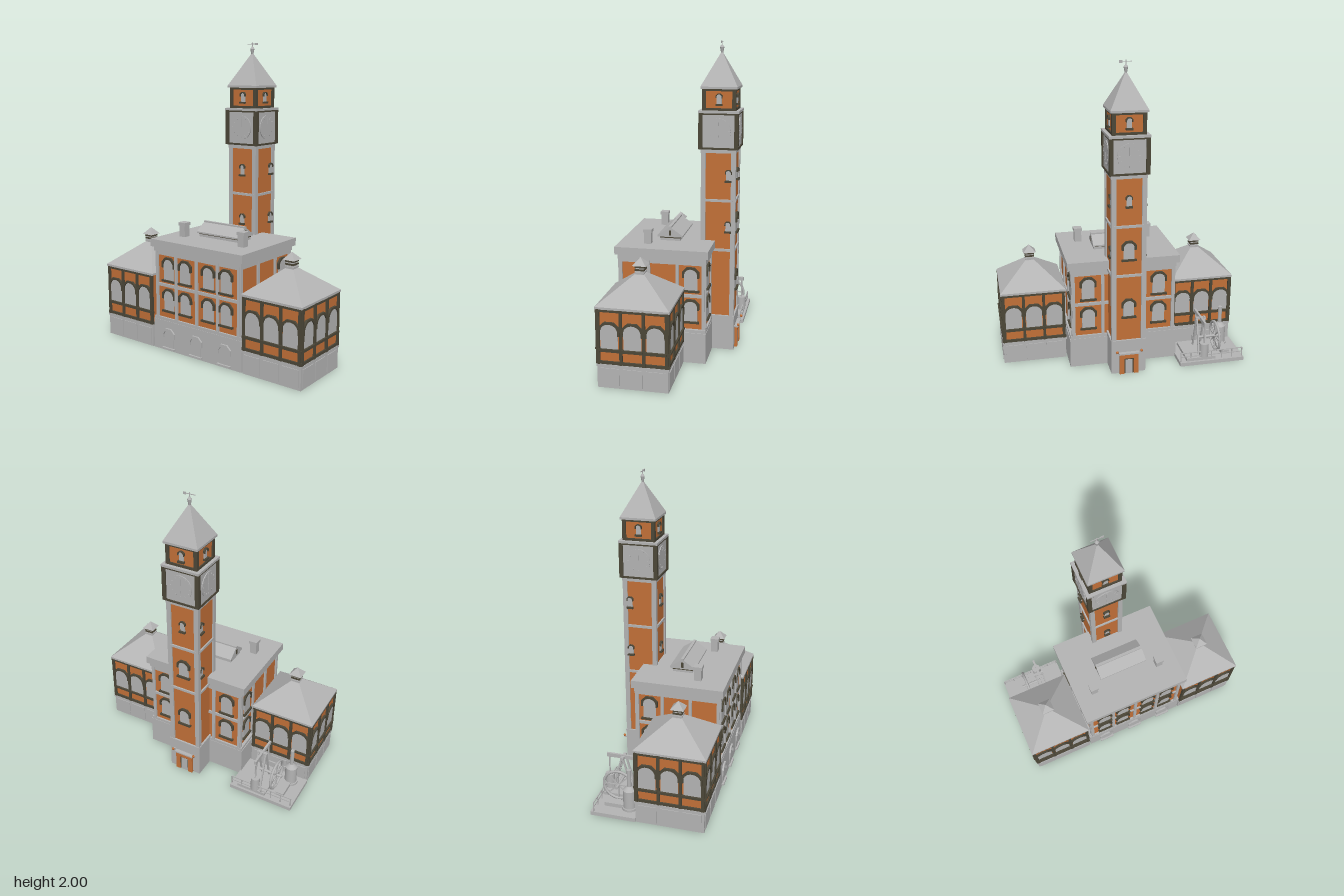
import * as THREE from 'three';

const stone = new THREE.MeshStandardMaterial({ color: 0xb4b4b4 });
stone.name = 'stone grey';
const brick = new THREE.MeshStandardMaterial({ color: 0xc27038 });
brick.name = 'brick orange';
const trim = new THREE.MeshStandardMaterial({ color: 0x4c4738 });
trim.name = 'dark trim';

function add(parent, name, geo, mat, x = 0, y = 0, z = 0) {
  const m = new THREE.Mesh(geo, mat);
  m.name = name;
  m.position.set(x, y, z);
  parent.add(m);
  return m;
}
// Box given by its centre in x and z, and its bottom and top in y
const box = (p, name, mat, w, y0, y1, d, x = 0, z = 0) =>
  add(p, name, new THREE.BoxGeometry(w, y1 - y0, d), mat, x, (y0 + y1) / 2, z);

const rod = (p, name, mat, r0, r1, y0, y1, x, z, n = 16) =>
  add(p, name, new THREE.CylinderGeometry(r1, r0, y1 - y0, n), mat, x, (y0 + y1) / 2, z);

// Four-sided hip roof with flat faces
function hip(p, name, hw, hd, topHalf, y0, y1, x, z) {
  const g = new THREE.CylinderGeometry(topHalf / hw * Math.SQRT2, Math.SQRT2, y1 - y0, 4)
    .rotateY(Math.PI / 4).scale(hw, 1, hd).toNonIndexed();
  g.computeVertexNormals();
  return add(p, name, g, stone, x, (y0 + y1) / 2, z);
}

function sub(parent, name, x = 0, z = 0, rotY = 0) {
  const g = new THREE.Group();
  g.name = name;
  g.position.set(x, 0, z);
  g.rotation.y = rotY;
  parent.add(g);
  return g;
}
const extrude = (shape, depth) =>
  new THREE.ExtrudeGeometry(shape, { depth, bevelEnabled: false, curveSegments: 10 });

// Arched window on a wall at local z = 0: pane, chamfered hood and sill
function archWindow(p, x, y0, y1, w, hoodMat = trim) {
  const s = y1 - w * 0.95, t = Math.min(0.012, w * 0.35), W = w + t, T = y1 + t, c = W * 0.55;
  const drop = s - (y1 - y0) * 0.12;
  const pane = new THREE.Shape();
  pane.moveTo(-w, y0).lineTo(w, y0).lineTo(w, s);
  pane.absellipse(0, s, w, y1 - s, 0, Math.PI, false);
  pane.closePath();
  add(p, 'windowPane', extrude(pane, 0.006), stone, x, 0, 0);
  const hood = new THREE.Shape();
  hood.moveTo(w, drop).lineTo(W, drop).lineTo(W, T - c).lineTo(W - c, T).lineTo(c - W, T)
    .lineTo(-W, T - c).lineTo(-W, drop).lineTo(-w, drop).lineTo(-w, s);
  hood.absellipse(0, s, w, y1 - s, Math.PI, 0, true);
  hood.closePath();
  add(p, 'windowHood', extrude(hood, 0.014), hoodMat, x, 0, 0);
  box(p, 'windowSill', hoodMat, 2 * W, y0 - 0.01, y0 + 0.002, 0.02, x, 0.008);
}

// Vertical posts and horizontal bands on a wall at local z = 0
function frame(p, mat, width, y0, y1, posts, bands, t = 0.02) {
  for (const x of posts) box(p, 'post', mat, t, y0, y1, 0.018, x, 0.003);
  for (const y of bands) box(p, 'band', mat, width, y - t / 2, y + t / 2, 0.014, 0, 0.003);
}

function mainHall(root) {
  const g = sub(root, 'mainHall', 0, 0.08);
  box(g, 'hallBase', stone, 0.72, 0, 0.2, 0.57);
  box(g, 'hallBaseMoulding', stone, 0.71, 0.2, 0.22, 0.565);
  box(g, 'hallWalls', brick, 0.67, 0.22, 0.67, 0.54);
  box(g, 'hallCornice', stone, 0.705, 0.66, 0.69, 0.565);
  box(g, 'hallParapet', stone, 0.74, 0.69, 0.74, 0.595);
  const front = sub(g, 'hallFront', 0, 0.27);
  frame(front, stone, 0.68, 0.22, 0.66, [-0.332, -0.17, 0, 0.17, 0.332], [0.44, 0.65]);
  const back = sub(g, 'hallBack', 0, -0.27, Math.PI);
  frame(back, stone, 0.68, 0.22, 0.66, [-0.332, -0.14, 0.14, 0.332], [0.44, 0.65]);
  for (const [y0, y1] of [[0.27, 0.405], [0.475, 0.615]]) {
    for (const x of [-0.235, -0.095, 0.095, 0.235]) archWindow(front, x, y0, y1, 0.042);
    for (const x of [-0.235, 0.235]) archWindow(back, x, y0, y1, 0.042);
  }
  for (const s of [-1, 1]) {
    const side = sub(g, 'hallSide', s * 0.335, 0, s * Math.PI / 2);
    frame(side, stone, 0.54, 0.22, 0.66, [-0.265, -0.085, 0.1, 0.265].map(x => x * s), [0.44, 0.65]);
    archWindow(side, 0.185 * s, 0.27, 0.405, 0.042);
    archWindow(side, 0.185 * s, 0.475, 0.615, 0.042);
    // Chimneys
    box(g, 'chimney', stone, 0.046, 0.74, 0.82, 0.046, s * 0.24, 0.11);
    box(g, 'chimneyCap', stone, 0.056, 0.815, 0.835, 0.056, s * 0.24, 0.11);
  }
  // Low arched doorways in the base
  const baseFront = sub(g, 'baseDoorways', 0, 0.283);
  for (const x of [-0.23, 0, 0.23]) archWindow(baseFront, x, 0.02, 0.14, 0.04, stone);
  // Roof lantern
  box(g, 'lanternBody', stone, 0.32, 0.74, 0.775, 0.13, 0, -0.015);
  box(g, 'lanternBand', trim, 0.326, 0.757, 0.763, 0.135, 0, -0.015);
  const gable = new THREE.Shape();
  gable.moveTo(-0.083, 0.765).lineTo(0.083, 0.765).lineTo(0.083, 0.775)
    .lineTo(0.005, 0.828).lineTo(-0.005, 0.828).lineTo(-0.083, 0.775).closePath();
  add(g, 'lanternRoof', extrude(gable, 0.336).translate(0, 0, -0.168).rotateY(Math.PI / 2), stone, 0, 0, -0.015);
  box(g, 'lanternRidge', stone, 0.336, 0.822, 0.835, 0.018, 0, -0.015);
  for (const s of [-1, 1]) box(g, 'lanternVent', trim, 0.006, 0.775, 0.81, 0.014, s * 0.168, -0.015);
}

function wing(root, s) {
  const g = sub(root, s > 0 ? 'leftWing' : 'rightWing', s * 0.577, 0.152);
  box(g, 'wingBase', stone, 0.416, 0, 0.135, 0.43);
  box(g, 'wingBaseMoulding', stone, 0.428, 0.135, 0.15, 0.438);
  box(g, 'wingWalls', brick, 0.405, 0.15, 0.49, 0.42);
  const faces = [[0, 0.21, 0, 0.41], [0, -0.21, Math.PI, 0.41], [s * 0.2025, 0, s * Math.PI / 2, 0.425]];
  for (const [x, z, r, w] of faces) {
    const f = sub(g, 'wingFace', x, z, r);
    const e = w / 2 - 0.008, b = w / 6 - 0.002;
    frame(f, trim, w + 0.01, 0.15, 0.49, [-e, -b, b, e], [0.16, 0.235, 0.482], 0.018);
    for (const i of [-1, 0, 1]) {
      archWindow(f, i * w * 0.328, 0.245, 0.4, 0.053);
      box(f, 'basePanel', stone, 0.115, 0.015, 0.125, 0.02, i * w * 0.328, 0);
    }
  }
  box(g, 'wingEave', stone, 0.428, 0.488, 0.502, 0.445);
  hip(g, 'wingRoof', 0.214, 0.2225, 0.03, 0.502, 0.65, 0, 0);
  // Louvred roof vent
  box(g, 'ventCore', stone, 0.05, 0.64, 0.71, 0.05);
  for (let i = 0; i < 3; i++) box(g, 'ventSlat', i === 0 ? stone : trim, 0.06, 0.655 + i * 0.018, 0.665 + i * 0.018, 0.06);
  hip(g, 'ventCap', 0.042, 0.042, 0.001, 0.705, 0.75, 0, 0);
}

function clockTower(root) {
  const g = sub(root, 'clockTower', 0, -0.235);
  box(g, 'towerBase', stone, 0.225, 0, 0.215, 0.225);
  box(g, 'towerBaseMoulding', stone, 0.23, 0.215, 0.235, 0.23);
  box(g, 'towerShaft', brick, 0.205, 0.23, 1.33, 0.205);
  box(g, 'shaftTopMoulding', stone, 0.225, 1.31, 1.33, 0.225);
  box(g, 'clockBlock', stone, 0.235, 1.33, 1.56, 0.235);
  box(g, 'clockBlockFoot', trim, 0.248, 1.333, 1.345, 0.248);
  box(g, 'clockBlockHead', trim, 0.248, 1.55, 1.56, 0.248);
  box(g, 'clockBlockCornice', stone, 0.256, 1.56, 1.575, 0.256);
  box(g, 'belfry', brick, 0.195, 1.575, 1.71, 0.195);
  box(g, 'belfryFoot', trim, 0.212, 1.575, 1.59, 0.212);
  box(g, 'belfryHead', trim, 0.212, 1.695, 1.71, 0.212);
  box(g, 'towerEave', stone, 0.232, 1.708, 1.722, 0.232);
  hip(g, 'spire', 0.116, 0.116, 0.004, 1.722, 1.93, 0, 0);
  for (const sx of [-1, 1]) for (const sz of [-1, 1]) {
    box(g, 'shaftCorner', stone, 0.03, 0.23, 1.33, 0.03, sx * 0.096, sz * 0.096);
    box(g, 'clockCorner', trim, 0.026, 1.335, 1.56, 0.026, sx * 0.113, sz * 0.113);
    box(g, 'belfryCorner', trim, 0.024, 1.575, 1.71, 0.024, sx * 0.094, sz * 0.094);
  }
  for (let k = 0; k < 4; k++) {
    const f = sub(g, 'towerFace', 0, 0, k * Math.PI / 2);
    const wall = sub(f, 'shaftFace', 0, 0.1025);
    frame(wall, stone, 0.19, 0, 0, [], [0.68, 1.005], 0.016);
    const off = k === 1 ? 0.065 : k === 3 ? -0.065 : 0;
    archWindow(wall, off, 1.135, 1.2, 0.016);
    if (k === 2) {
      archWindow(wall, 0, 0.79, 0.9, 0.035);
      archWindow(wall, 0, 0.4, 0.51, 0.035);
    } else archWindow(wall, off, 0.805, 0.865, 0.016);
    archWindow(sub(f, 'belfryFace', 0, 0.0975), 0, 1.615, 1.675, 0.016);
    // Clock dial, hour marks and hands
    add(f, 'clockDial', new THREE.CylinderGeometry(0.078, 0.078, 0.008, 40).rotateX(Math.PI / 2), stone, 0, 1.45, 0.119);
    for (let h = 0; h < 12; h++) {
      const a = h * Math.PI / 6;
      add(f, 'hourMark', new THREE.BoxGeometry(0.004, 0.012, 0.003), stone,
        Math.sin(a) * 0.064, 1.45 + Math.cos(a) * 0.064, 0.124).rotation.z = -a;
    }
    box(f, 'minuteHand', stone, 0.005, 1.445, 1.505, 0.003, 0, 0.124);
    box(f, 'hourHand', stone, 0.007, 1.41, 1.455, 0.003, 0, 0.124);
  }
  // Finial and weather vane
  rod(g, 'finialCup', stone, 0.006, 0.014, 1.92, 1.96, 0, 0, 8);
  rod(g, 'finialTip', stone, 0.014, 0.004, 1.96, 1.975, 0, 0, 8);
  rod(g, 'vaneRod', stone, 0.003, 0.003, 1.97, 2, 0, 0, 8);
  box(g, 'vaneArrow', stone, 0.075, 1.989, 1.993, 0.004);
  box(g, 'vaneTail', stone, 0.02, 1.983, 1.998, 0.004, 0.032);
  // Rear door with lamps
  const door = sub(g, 'rearDoor', 0, -0.1125, Math.PI);
  for (const s of [-1, 1]) {
    box(door, 'doorPier', brick, 0.03, 0, 0.14, 0.024, s * 0.047, 0.006);
    box(door, 'lampBracket', stone, 0.008, 0.15, 0.158, 0.03, s * 0.08, 0.013);
    add(door, 'lamp', new THREE.SphereGeometry(0.009, 12, 8), brick, s * 0.08, 0.165, 0.026);
  }
  box(door, 'doorLintel', brick, 0.124, 0.11, 0.14, 0.024, 0, 0.006);
  box(door, 'doorCap', stone, 0.134, 0.14, 0.15, 0.03, 0, 0.01);
  box(door, 'doorFrame', trim, 0.064, 0, 0.11, 0.012, 0, 0.004);
  box(door, 'doorLeaf', stone, 0.048, 0, 0.1, 0.016, 0, 0.005);
}

function engineYard(root) {
  const g = sub(root, 'engineYard');
  box(g, 'yardSlab', stone, 0.44, 0, 0.025, 0.29, -0.572, -0.21);
  box(g, 'engineBed', stone, 0.2, 0.025, 0.045, 0.24, -0.5, -0.22);
  box(g, 'wheelBed', stone, 0.055, 0.025, 0.05, 0.16, -0.685, -0.21);
  // Railing
  for (let i = 0; i < 7; i++) rod(g, 'railPost', stone, 0.004, 0.004, 0.025, 0.085, -0.785 + i * 0.071, -0.335, 8);
  for (const y of [0.055, 0.082]) box(g, 'rail', stone, 0.43, y, y + 0.006, 0.006, -0.572, -0.335);
  // Flywheel with spokes and axle
  const wheel = sub(g, 'flywheel', -0.63, -0.225, Math.PI / 2);
  wheel.position.y = 0.135;
  add(wheel, 'wheelRim', new THREE.TorusGeometry(0.096, 0.009, 8, 36), stone);
  for (let i = 0; i < 4; i++) add(wheel, 'spoke', new THREE.BoxGeometry(0.19, 0.007, 0.006), stone).rotation.z = i * Math.PI / 4;
  add(wheel, 'axle', new THREE.CylinderGeometry(0.009, 0.009, 0.16, 12).rotateX(Math.PI / 2), stone, 0, 0, 0.04);
  // Boiler
  rod(g, 'boilerFoot', stone, 0.048, 0.048, 0.025, 0.04, -0.695, -0.13, 24);
  rod(g, 'boiler', stone, 0.04, 0.04, 0.04, 0.16, -0.695, -0.13, 24);
  rod(g, 'boilerShoulder', stone, 0.04, 0.014, 0.16, 0.185, -0.695, -0.13, 24);
  rod(g, 'boilerStack', stone, 0.013, 0.013, 0.18, 0.3, -0.695, -0.13);
  box(g, 'steamPipe', stone, 0.16, 0.12, 0.13, 0.01, -0.6, -0.125);
  // Beam engine
  rod(g, 'steamCylinder', stone, 0.03, 0.03, 0.045, 0.14, -0.522, -0.32, 20);
  rod(g, 'pistonRod', stone, 0.005, 0.005, 0.14, 0.28, -0.522, -0.32, 8);
  rod(g, 'crankRod', stone, 0.006, 0.006, 0.06, 0.27, -0.522, -0.125, 8);
  box(g, 'rockingBeam', stone, 0.014, 0.265, 0.29, 0.23, -0.522, -0.22);
  for (const x of [-0.548, -0.496]) for (const s of [-1, 1])
    add(g, 'frameLeg', new THREE.BoxGeometry(0.01, 0.25, 0.012), stone, x, 0.165, -0.225 + s * 0.035).rotation.x = -s * 0.27;
  box(g, 'beamPivot', stone, 0.07, 0.27, 0.285, 0.02, -0.522, -0.225);
}

export function createModel() {
  const root = new THREE.Group();
  root.name = 'clockTowerHall';
  mainHall(root);
  for (const s of [-1, 1]) wing(root, s);
  clockTower(root);
  engineYard(root);
  return root;
}
